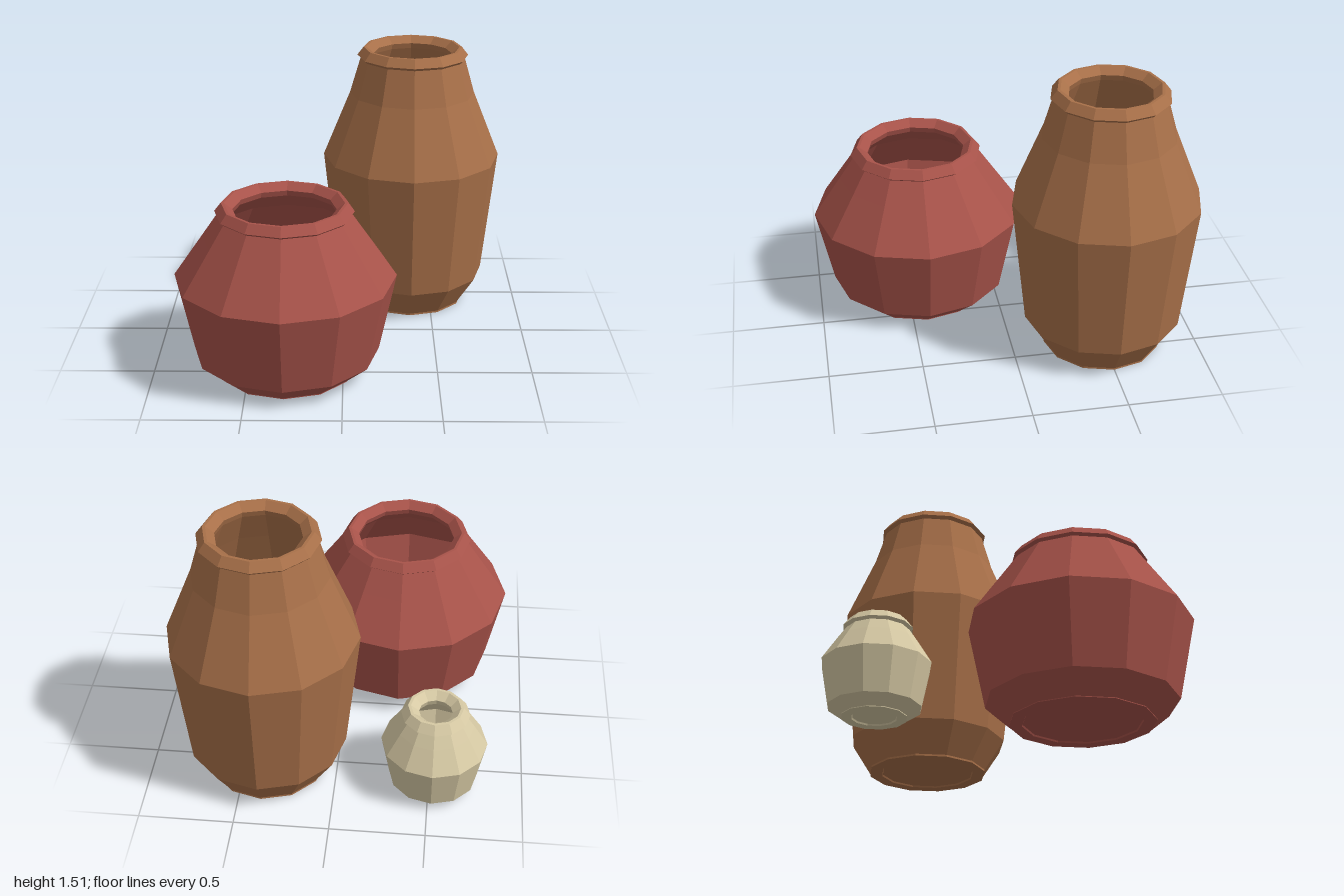
import * as THREE from 'three';

const SIDES = 12;

function colour(name, hex) {
  const material = new THREE.MeshStandardMaterial({ color: hex });
  material.name = name;
  return material;
}

// Turns a profile of [radius, height] points into a faceted solid of revolution
function turned(name, profile, material) {
  const points = profile.map(([r, y]) => new THREE.Vector2(r, y));
  const geometry = new THREE.LatheGeometry(points, SIDES).toNonIndexed();
  geometry.computeVertexNormals();
  const mesh = new THREE.Mesh(geometry, material);
  mesh.name = name;
  return mesh;
}

// wall: outer profile from the foot up to the neck; lip: outer radius of the rim
function pot({ name, x, z, wall, lip, height, footRing, material }) {
  const group = new THREE.Group();
  group.name = name;
  const neck = wall[wall.length - 1];
  const foot = wall[0][0];

  // Outer shell with a shallow recess under the foot
  group.add(turned('body', [
    [0, 0.008], [footRing, 0.008], [footRing + 0.004, 0], [foot, 0], ...wall,
  ], material));

  // Overhanging faceted rim
  group.add(turned('rim', [
    [neck[0] - 0.02, neck[1] - 0.005],
    [neck[0] + 0.005, neck[1] - 0.005],
    [lip, height - 0.045],
    [lip - 0.035, height],
    [lip - 0.05, height],
    [lip - 0.093, height - 0.035],
    [lip - 0.085, height - 0.065],
  ], material));

  // Hollow inside, following the shell down to the floor
  const inner = wall.slice(1, -1).reverse().map(([r, y]) => [r - 0.05, y + 0.02]);
  group.add(turned('inside', [
    [lip - 0.085, height - 0.065], ...inner, [foot - 0.05, 0.04], [0, 0.04],
  ], material));

  group.position.set(x, 0, z);
  return group;
}

export function createModel() {
  const model = new THREE.Group();
  model.name = 'clayPots';

  model.add(pot({
    name: 'widePot', x: -0.3, z: 0.42, lip: 0.36, height: 0.93, footRing: 0.3,
    wall: [[0.37, 0.004], [0.49, 0.105], [0.58, 0.53], [0.428, 0.75], [0.34, 0.878]],
    material: colour('red clay', 0xa8534a),
  }));

  model.add(pot({
    name: 'tallPot', x: 0.38, z: -0.5, lip: 0.31, height: 1.51, footRing: 0.25,
    wall: [[0.32, 0.01], [0.425, 0.175], [0.5, 0.88], [0.35, 1.25], [0.29, 1.455]],
    material: colour('brown clay', 0xa87049),
  }));

  model.add(pot({
    name: 'smallPot', x: -0.52, z: -0.585, lip: 0.18, height: 0.52, footRing: 0.11,
    wall: [[0.165, 0.004], [0.235, 0.05], [0.28, 0.28], [0.205, 0.4], [0.16, 0.468]],
    material: colour('cream clay', 0xd6c9a4),
  }));

  return model;
}
